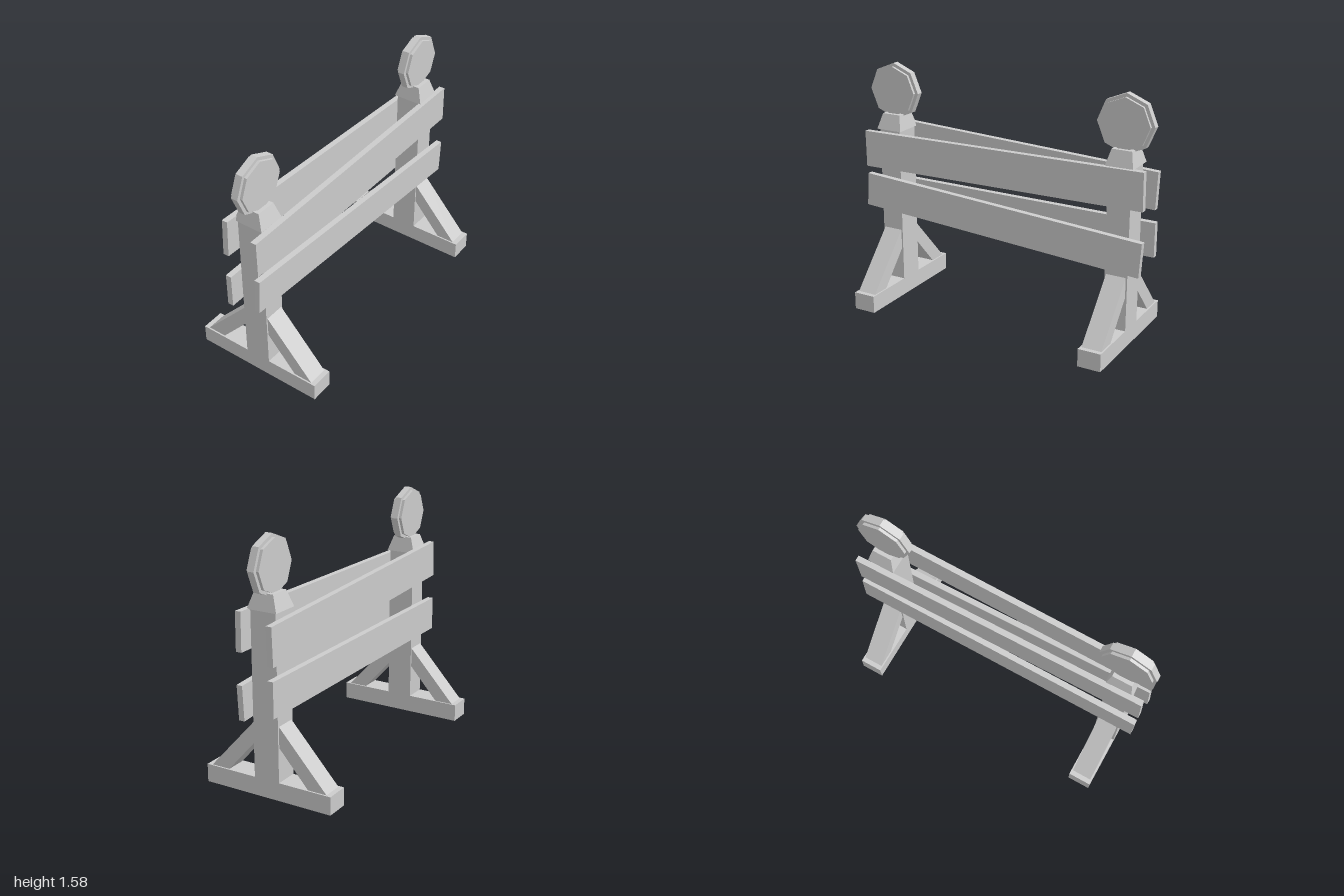
import * as THREE from 'three';

const material = new THREE.MeshStandardMaterial({ color: 0xcccccc, flatShading: true });

function part(name, geometry, x = 0, y = 0, z = 0) {
  const mesh = new THREE.Mesh(geometry, material);
  mesh.name = name;
  mesh.position.set(x, y, z);
  return mesh;
}

// Box whose top face is narrowed to its own width and depth
function taperedBox(width, height, depth, topWidth, topDepth) {
  const geometry = new THREE.BoxGeometry(width, height, depth);
  const p = geometry.attributes.position;
  for (let i = 0; i < p.count; i++) {
    if (p.getY(i) > 0) {
      p.setX(i, Math.sign(p.getX(i)) * topWidth / 2);
      p.setZ(i, Math.sign(p.getZ(i)) * topDepth / 2);
    }
  }
  geometry.computeVertexNormals();
  return geometry;
}

// Slanted strut between post and foot, cut flush at both ends
function braceGeometry() {
  const shape = new THREE.Shape([
    [0.28, 0.115], [0.405, 0.115], [0.085, 0.467], [0.085, 0.335],
  ].map(([x, y]) => new THREE.Vector2(x, y)));
  return new THREE.ExtrudeGeometry(shape, { depth: 0.13, bevelEnabled: false }).translate(0, 0, -0.065);
}

// Octagonal disc facing along x
function disc(radius, thickness) {
  return new THREE.CylinderGeometry(radius, radius, thickness, 8).rotateZ(Math.PI / 2);
}

function createStand(name, z) {
  const stand = new THREE.Group();
  stand.name = name;
  stand.position.z = z;
  stand.add(part('foot', new THREE.BoxGeometry(0.874, 0.115, 0.15), 0, 0.0575));
  stand.add(part('post', new THREE.BoxGeometry(0.172, 1.035, 0.15), 0, 0.6325));
  for (const side of [1, -1]) {
    const brace = part(side > 0 ? 'leftBrace' : 'rightBrace', braceGeometry());
    if (side < 0) brace.rotation.y = Math.PI;
    stand.add(brace);
  }
  stand.add(part('lampBase', taperedBox(0.2, 0.1, 0.18, 0.13, 0.13), 0, 1.2));

  // Warning lamp: wide rim with a lens standing out on each face
  const lamp = new THREE.Group();
  lamp.name = 'lamp';
  lamp.position.y = 1.397;
  lamp.add(part('lampRim', disc(0.184, 0.044)), part('lampLens', disc(0.162, 0.08)));
  stand.add(lamp);
  return stand;
}

export function createModel() {
  const model = new THREE.Group();
  model.name = 'barricade';
  model.add(createStand('frontStand', 0.816), createStand('backStand', -0.816));

  // Crooked boards: name, side, centre height, board height, tilt
  const boards = [
    ['leftUpperBoard', 1, 1.0225, 0.24, 0.0127],
    ['leftLowerBoard', 1, 0.668, 0.222, -0.062],
    ['rightUpperBoard', -1, 1.0225, 0.24, -0.0425],
    ['rightLowerBoard', -1, 0.668, 0.222, 0],
  ];
  for (const [name, side, y, height, tilt] of boards) {
    const board = part(name, new THREE.BoxGeometry(0.038, height, 1.97), side * 0.105, y);
    board.rotation.x = tilt;
    model.add(board);
  }
  return model;
}
